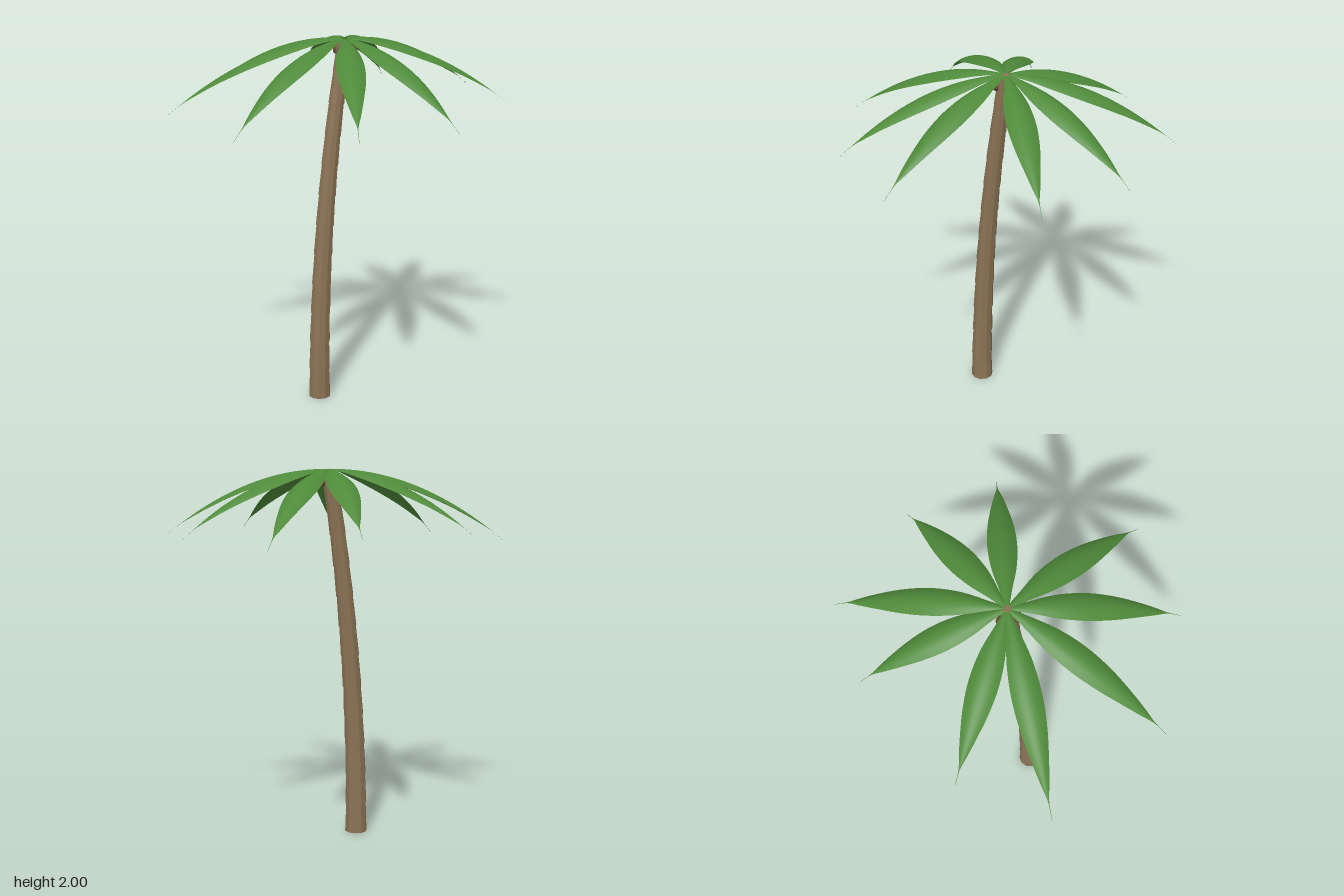
import * as THREE from 'three';

const CROWN = new THREE.Vector3(0.01, 1.995, -0.08);

// Trunk axis leans further over towards the top
function trunkPoint(t) {
  return new THREE.Vector3(-0.17 + 0.18 * t * t, 1.985 * t, -0.072 - 0.008 * t);
}

function buildTrunk(material) {
  const trunk = new THREE.Group();
  trunk.name = 'trunk';
  const count = 12;
  const up = new THREE.Vector3(0, 1, 0);
  for (let i = 0; i < count; i++) {
    const a = trunkPoint(i / count), b = trunkPoint((i + 1) / count);
    const dir = b.clone().sub(a);
    const r = THREE.MathUtils.lerp(0.061, 0.042, i / (count - 1));
    const segment = new THREE.Mesh(new THREE.CylinderGeometry(r * 0.9, r, dir.length(), 10), material);
    segment.name = 'trunkSegment';
    segment.position.copy(a).add(b).multiplyScalar(0.5);
    // The foot stays level on the ground
    if (i > 0) segment.quaternion.setFromUnitVectors(up, dir.normalize());
    trunk.add(segment);
  }
  return trunk;
}

// Half width of a frond along its length: [t, half width]
const WIDTH = [[0, 0.012], [0.1, 0.03], [0.25, 0.06], [0.42, 0.073], [0.58, 0.064],
  [0.72, 0.043], [0.84, 0.02], [0.9, 0.006], [0.93, 0.002], [1, 0.001]];
const widthCurve = new THREE.CatmullRomCurve3(WIDTH.map(([t, w]) => new THREE.Vector3(t, w, 0)));

// Arched frond running to a tip, with its sides rolled downwards
function frondGeometry(tip) {
  const rows = 36, cols = 8;
  const dx = tip.x - CROWN.x, dz = tip.z - CROWN.z;
  const length = Math.hypot(dx, dz), drop = CROWN.y - tip.y;
  const ux = dx / length, uz = dz / length;
  const positions = [], index = [];
  for (let i = 0; i <= rows; i++) {
    const p = widthCurve.getPoint(i / rows);
    const t = p.x, d = THREE.MathUtils.lerp(0.018, length, t);
    for (let j = 0; j <= cols; j++) {
      const s = (j / cols) * 2 - 1;
      const side = s * p.y;
      positions.push(
        CROWN.x + ux * d - uz * side,
        CROWN.y - drop * t * t - 0.42 * p.y * s * s,
        CROWN.z + uz * d + ux * side
      );
      if (i < rows && j < cols) {
        const a = i * (cols + 1) + j, b = a + cols + 1;
        index.push(a, a + 1, b, b, a + 1, b + 1);
      }
    }
  }
  const geometry = new THREE.BufferGeometry();
  geometry.setAttribute('position', new THREE.Float32BufferAttribute(positions, 3));
  geometry.setIndex(index);
  geometry.computeVertexNormals();
  return geometry;
}

export function createModel() {
  const bark = new THREE.MeshStandardMaterial({ color: 0x8b7355, flatShading: true });
  const leaf = new THREE.MeshStandardMaterial({ color: 0x4f8a3a, side: THREE.DoubleSide });
  const shell = new THREE.MeshStandardMaterial({ color: 0x6b4a30 });

  const model = new THREE.Group();
  model.name = 'palmTree';
  model.add(buildTrunk(bark));

  // Frond tips
  const tips = [
    [0.85, 1.66, -0.09], [0.67, 1.64, -0.66], [0.24, 1.69, -0.8],
    [-0.45, 1.67, -0.74], [-0.85, 1.61, -0.47], [-0.85, 1.61, 0.23],
    [-0.42, 1.64, 0.67], [0.08, 1.64, 0.8], [0.73, 1.65, 0.39],
  ];
  const crown = new THREE.Group();
  crown.name = 'crown';
  for (const tip of tips) {
    const frond = new THREE.Mesh(frondGeometry(new THREE.Vector3(...tip)), leaf);
    frond.name = 'frond';
    crown.add(frond);
  }
  model.add(crown);

  // Coconuts gathered under the crown
  for (let i = 0; i < 3; i++) {
    const angle = 0.35 + (i * Math.PI * 2) / 3;
    const nut = new THREE.Mesh(new THREE.SphereGeometry(0.028, 16, 12), shell);
    nut.name = 'coconut';
    nut.position.set(0.005 + 0.045 * Math.cos(angle), 1.93, -0.08 + 0.045 * Math.sin(angle));
    model.add(nut);
  }
  return model;
}
